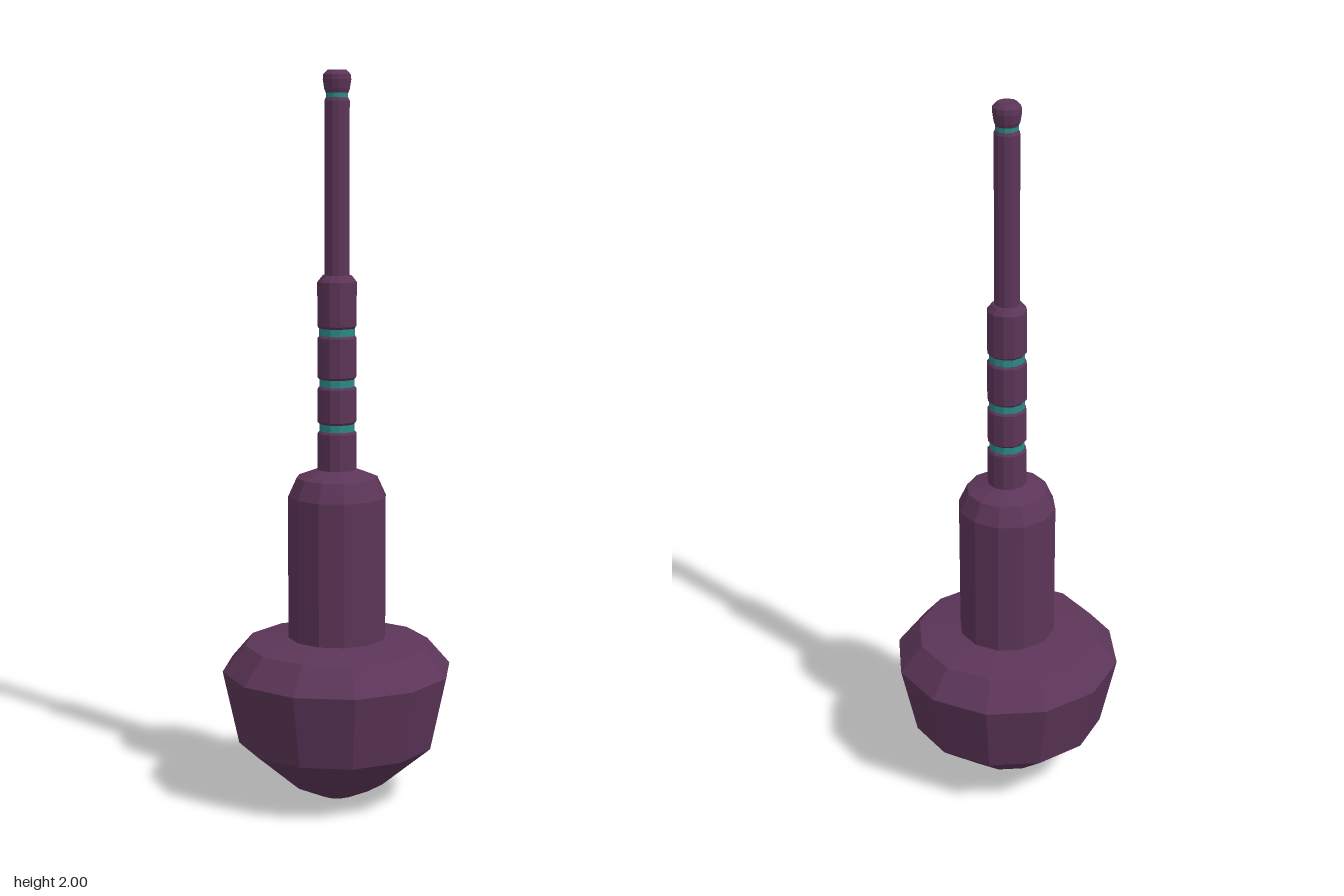
import * as THREE from 'three';

const SIDES = 12;
const FLAT_TO_CORNER = 1 / Math.cos(Math.PI / SIDES);

export function createModel() {
  const group = new THREE.Group();
  const purple = new THREE.MeshStandardMaterial({ color: 0x5c3558, flatShading: true });
  const teal = new THREE.MeshStandardMaterial({ color: 0x2a8a86, flatShading: true });

  // Twelve-sided turned part; profile radii are measured to the flats, bottom to top
  function turned(name, profile, material = purple) {
    const points = profile.map(([r, y]) => new THREE.Vector2(r * FLAT_TO_CORNER, y));
    const mesh = new THREE.Mesh(new THREE.LatheGeometry(points, SIDES, Math.PI / SIDES), material);
    mesh.name = name;
    group.add(mesh);
  }

  // Bulbous base with a blunt pointed underside
  turned('base', [
    [0, 0], [0.05, 0.006], [0.13, 0.046], [0.265, 0.165],
    [0.308, 0.37], [0.247, 0.443], [0.13, 0.46], [0, 0.46],
  ]);

  // Thick handle with a chamfered shoulder
  turned('handle', [
    [0, 0.45], [0.131, 0.45], [0.131, 0.855], [0.108, 0.907], [0.05, 0.93], [0, 0.93],
  ]);

  // Stem sections separated by recessed coloured rings
  const rings = [1.045, 1.167, 1.305];
  const gap = 0.01;
  const edges = [0.92, ...rings.flatMap((y) => [y - gap, y + gap]), 1.458];
  for (let i = 0; i < edges.length; i += 2) {
    const bottom = edges[i], top = edges[i + 1];
    const last = i === edges.length - 2;
    turned('stemSection', [
      [0, bottom], [0.047, bottom], [0.052, bottom + 0.006],
      [0.052, top - (last ? 0.018 : 0.006)], [last ? 0.038 : 0.047, top], [0, top],
    ]);
  }
  for (const y of rings) {
    turned('stemRing', [[0.047, y - gap], [0.047, y + gap]], teal);
  }

  // Slender upper rod, its ring and the end cap
  turned('rod', [[0.033, 1.45], [0.033, 1.92], [0.029, 1.928], [0, 1.928]]);
  turned('tipRing', [[0.029, 1.926], [0.029, 1.942]], teal);
  turned('tipCap', [
    [0, 1.94], [0.029, 1.94], [0.033, 1.95], [0.037, 1.975],
    [0.036, 1.988], [0.025, 2], [0, 2],
  ]);

  return group;
}
